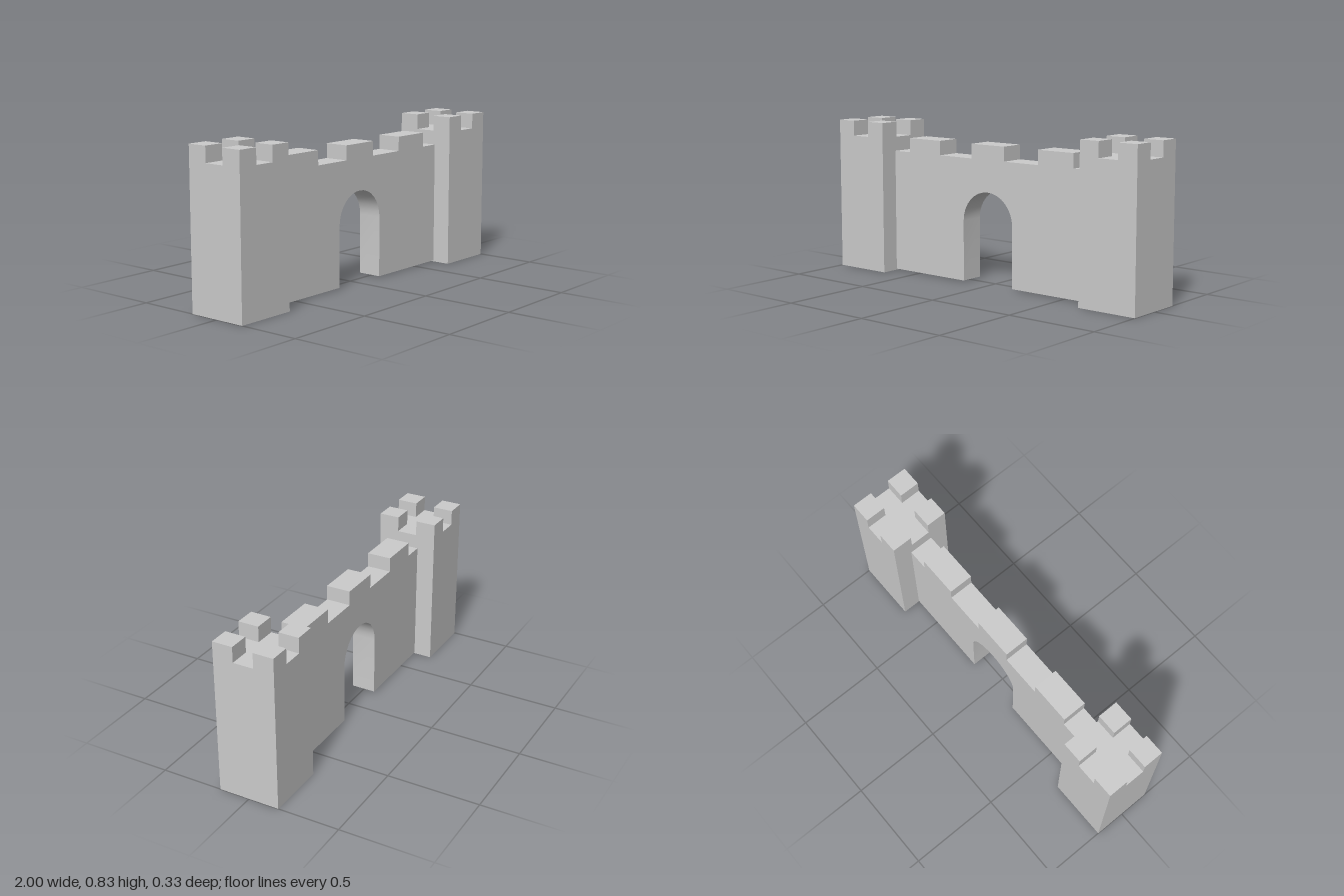
import * as THREE from 'three';
import { toCreasedNormals } from 'three/addons/utils/BufferGeometryUtils.js';

const material = new THREE.MeshStandardMaterial({ color: 0xcccccc });

const TOWER = 1 / 3;      // tower width and depth
const TOWER_FLOOR = 0.75; // height of the tower roof
const TOWER_TOP = 0.833;
const WALL_BASE = 0.006;
const WALL_LOW = 0.672;   // walkway between the wall merlons
const WALL_TOP = 0.75;
const WALL_DEPTH = 0.133;
const ARCH_R = 1 / 6;

// Box standing on height y
function block(name, w, h, d, x, y, z) {
  const mesh = new THREE.Mesh(new THREE.BoxGeometry(w, h, d), material);
  mesh.name = name;
  mesh.position.set(x, y + h / 2, z);
  return mesh;
}

// Square tower with a merlon on each corner
function createTower(name, x) {
  const tower = new THREE.Group();
  tower.name = name;
  tower.position.x = x;
  tower.add(block('towerBody', TOWER, TOWER_FLOOR, TOWER, 0, 0, 0));
  const size = TOWER / 3;
  for (const sx of [-1, 1]) {
    for (const sz of [-1, 1]) {
      tower.add(block('towerMerlon', size, TOWER_TOP - TOWER_FLOOR, size,
        sx * size, TOWER_FLOOR, sz * size));
    }
  }
  return tower;
}

// Battlemented wall with a round-headed gateway cut up from its base
function createWall() {
  const end = 2 / 3, spring = 1 / 3;
  const shape = new THREE.Shape();
  shape.moveTo(-end, WALL_BASE);
  shape.lineTo(-ARCH_R, WALL_BASE);
  shape.lineTo(-ARCH_R, spring);
  shape.absarc(0, spring, ARCH_R, Math.PI, 0, true);
  shape.lineTo(ARCH_R, WALL_BASE);
  shape.lineTo(end, WALL_BASE);
  shape.lineTo(end, WALL_LOW);
  // Three merlons, from the left end to the right
  for (const x of [4 / 9, 0, -4 / 9]) {
    shape.lineTo(x + 1 / 9, WALL_LOW);
    shape.lineTo(x + 1 / 9, WALL_TOP);
    shape.lineTo(x - 1 / 9, WALL_TOP);
    shape.lineTo(x - 1 / 9, WALL_LOW);
  }
  shape.lineTo(-end, WALL_LOW);
  shape.closePath();

  const geometry = new THREE.ExtrudeGeometry(shape, {
    depth: WALL_DEPTH, bevelEnabled: false, curveSegments: 8,
  });
  geometry.translate(0, 0, -WALL_DEPTH / 2);
  const wall = new THREE.Mesh(toCreasedNormals(geometry, Math.PI / 6), material);
  wall.name = 'gateWall';
  return wall;
}

export function createModel() {
  const model = new THREE.Group();
  model.name = 'castleGate';
  model.add(createWall());
  model.add(createTower('leftTower', 1 - TOWER / 2));
  model.add(createTower('rightTower', -1 + TOWER / 2));
  return model;
}
